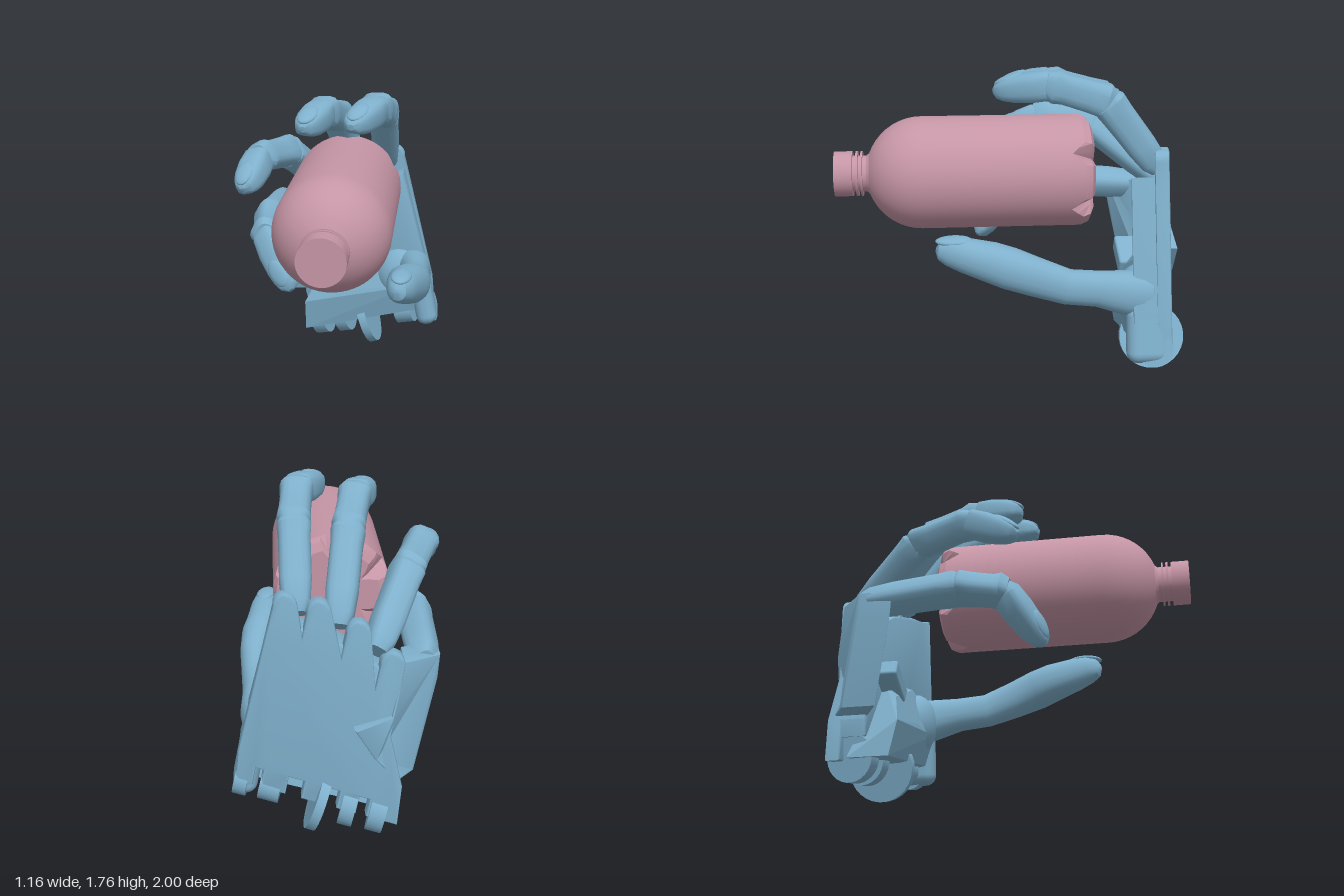
import * as THREE from 'three';
import { toCreasedNormals } from 'three/addons/utils/BufferGeometryUtils.js';
import { RoundedBoxGeometry } from 'three/addons/geometries/RoundedBoxGeometry.js';
import { ConvexGeometry } from 'three/addons/geometries/ConvexGeometry.js';

const V = (p) => new THREE.Vector3(...p);
const skin = new THREE.MeshStandardMaterial({ color: 0x7fb0cc });
const plastic = new THREE.MeshStandardMaterial({ color: 0xc595a5 });

function part(parent, name, geometry, material = skin) {
  const mesh = new THREE.Mesh(geometry, material);
  mesh.name = name;
  parent.add(mesh);
  return mesh;
}

// Closed loft along a list of [x, y, z, halfWidth, halfHeight] with rounded-square sections
function loft(stations, up, n = 16, power = 0.62) {
  const pts = stations.map((s) => V(s)), pos = [], idx = [];
  const bend = (v) => Math.sign(v) * Math.abs(v) ** power;
  stations.forEach((s, i) => {
    const dir = pts[Math.min(i + 1, pts.length - 1)].clone().sub(pts[Math.max(i - 1, 0)]).normalize();
    const X = V(up).cross(dir).normalize(), Y = dir.clone().cross(X);
    for (let k = 0; k < n; k++) {
      const a = ((k + 0.5) / n) * Math.PI * 2;
      const q = pts[i].clone().addScaledVector(X, bend(Math.cos(a)) * s[3]).addScaledVector(Y, bend(Math.sin(a)) * s[4]);
      pos.push(q.x, q.y, q.z);
      if (i < pts.length - 1) {
        const b = i * n, m = (k + 1) % n;
        idx.push(b + k, b + m, b + n + m, b + k, b + n + m, b + n + k);
      }
    }
  });
  const last = (pts.length - 1) * n;
  for (let k = 1; k < n - 1; k++) idx.push(0, k + 1, k, last, last + k, last + k + 1);
  const g = new THREE.BufferGeometry();
  g.setAttribute('position', new THREE.Float32BufferAttribute(pos, 3));
  g.setIndex(idx);
  return toCreasedNormals(g, 0.6);
}

// One straight bone from a to b; profile rows are [t, halfWidth, halfHeight]
function bone(a, b, profile, up) {
  return loft(profile.map(([t, w, h]) => [...V(a).lerp(V(b), t).toArray(), w, h]), up);
}

// Flattened oval lying on the back of a fingertip, dipping toward the tip
function nail(parent, a, b, up, t, lift, w, l) {
  const m = part(parent, 'nail', new THREE.SphereGeometry(1, 20, 12));
  const Z = V(b).sub(V(a)).normalize(), X = V(up).cross(Z).normalize(), Y = Z.clone().cross(X);
  m.quaternion.setFromRotationMatrix(new THREE.Matrix4().makeBasis(X, Y, Z));
  m.rotateX(0.22);
  m.scale.set(w / 2, 0.022, l / 2);
  m.position.copy(V(a).lerp(V(b), t).addScaledVector(Y, lift));
}

function hinge(parent, name, p, axis, r, w) {
  const m = part(parent, name, toCreasedNormals(new THREE.CylinderGeometry(r, r, w, 28), 0.6));
  m.position.set(...p);
  m.quaternion.setFromUnitVectors(V([0, 1, 0]), V(axis).normalize());
}

function finger(parent, name, [a, b, c, d], up, tipUp = up) {
  const g = new THREE.Group();
  g.name = name;
  part(g, 'proximalBone', bone(a, b, [[-0.08, 0.05, 0.05], [0.04, 0.072, 0.075], [0.3, 0.082, 0.085],
    [0.8, 0.082, 0.09], [0.96, 0.088, 0.095], [1.04, 0.07, 0.07]], up));
  part(g, 'middleBone', bone(b, c, [[-0.14, 0.06, 0.065], [0, 0.087, 0.094], [0.3, 0.082, 0.087],
    [0.75, 0.082, 0.082], [0.92, 0.09, 0.092], [1.1, 0.07, 0.068]], up));
  part(g, 'fingertip', bone(c, d, [[-0.1, 0.055, 0.055], [0.05, 0.08, 0.08], [0.4, 0.087, 0.082], [0.75, 0.08, 0.073],
    [0.95, 0.07, 0.06], [1.1, 0.052, 0.042], [1.18, 0.02, 0.016]], tipUp));
  nail(g, c, d, tipUp, 0.84, 0.056, 0.11, 0.17);
  parent.add(g);
}

// Extruded plate whose depth is then sheared by a rule z = f(x, y)
function plate(outline, depth, rule) {
  const shape = new THREE.Shape(outline.map((p) => new THREE.Vector2(...p)));
  const g = new THREE.ExtrudeGeometry(shape, { depth: depth - 0.024, bevelThickness: 0.012, bevelSize: 0.01, bevelSegments: 2 });
  const p = g.attributes.position;
  for (let i = 0; i < p.count; i++) p.setZ(i, p.getZ(i) + 0.012 + rule(p.getX(i), p.getY(i)));
  return toCreasedNormals(g, 0.5);
}

function makeBottle() {
  const g = new THREE.Group();
  g.name = 'bottle';
  const prof = [[0, -0.42], [0.25, -0.42], [0.295, -0.4], [0.312, -0.36], [0.312, -0.27], [0.312, 0.1], [0.312, 0.52]];
  for (let i = 1; i <= 9; i++) {
    const a = (i / 9) * 1.2;
    prof.push([0.312 * Math.cos(a), 0.52 + 0.31 * Math.sin(a)]);
  }
  prof.push([0.095, 0.83], [0.095, 0.86]);
  const body = new THREE.LatheGeometry(prof.map((p) => new THREE.Vector2(...p)), 60);
  // Six V notches in the rim of the base: raise the rim's upper row, pull in the rows below it
  const p = body.attributes.position, step = Math.PI / 3;
  for (let i = 0; i < p.count; i++) {
    const row = i % prof.length, x = p.getX(i), z = p.getZ(i), a = Math.atan2(x, z);
    const w = Math.max(0, 1 - Math.abs(a - Math.round(a / step) * step) / 0.2094);
    if (row === 3) p.setY(i, -0.36 + 0.07 * w);
    const k = 1 - [0, 0.34, 0.3][row] * w;
    if (row < 3) p.setXYZ(i, x * k, p.getY(i), z * k);
  }
  part(g, 'bottleBody', toCreasedNormals(body, 0.35), plastic);
  for (const [name, r, y0, y1] of [['neck', 0.1, 0.78, 0.92], ['neckRing', 0.125, 0.845, 0.855],
    ['sealRing', 0.125, 0.87, 0.882], ['cap', 0.125, 0.9, 1]]) {
    part(g, name, new THREE.CylinderGeometry(r, r, y1 - y0, 40), plastic).position.y = (y0 + y1) / 2;
  }
  g.rotation.x = Math.PI / 2;
  g.position.set(0.03, 1.175, 0);
  return g;
}

// Outline of the back plate: notched wrist edge, straight sides, round knuckle tabs
function backOutline() {
  const low = (x) => 0.13 + 0.23 * (x + 0.26), pts = [[-0.26, low(-0.26)]];
  for (const [a, b] of [[-0.12, -0.05], [0.03, 0.1], [0.21, 0.31], [0.42, 0.48]]) {
    pts.push([a, low(a)], [a - 0.02, low(a) + 0.1], [b - 0.02, low(b) + 0.1], [b, low(b)]);
  }
  pts.push([0.55, 0.29], [0.53, 0.48]);
  for (const [x, y] of [[0.285, 1.28], [0.12, 1.255], [-0.07, 1.16], [-0.235, 1.01]]) {
    pts.push([x + 0.085, y - 0.15]);
    for (let i = 0; i <= 8; i++) {
      const a = (i / 8) * Math.PI - 0.15;
      pts.push([x + 0.05 * Math.cos(a), y + 0.05 * Math.sin(a)]);
    }
  }
  pts.push([-0.27, 0.9], [-0.22, 0.62], [-0.28, 0.34]);
  return pts;
}

export function createModel() {
  const model = new THREE.Group();
  model.add(makeBottle());
  const hand = new THREE.Group();
  hand.name = 'hand';
  model.add(hand);

  // Palm
  const slope = (x, y) => -0.88 + 0.2 * x + 0.055 * (y - 1.2);
  part(hand, 'palmBack', plate(backOutline(), 0.08, slope));
  part(hand, 'palm', plate([[-0.26, 0.26], [0.1, 0.34], [0.53, 0.43], [0.52, 0.5], [0.34, 1.19], [0.25, 1.15], [0.13, 1.12],
    [-0.08, 1.03], [-0.26, 0.9], [-0.22, 0.62], [-0.28, 0.34]], 0.18, (x, y) => slope(x, y) + 0.03));
  part(hand, 'palmHeel', new ConvexGeometry([[-0.27, 0.13, -0.64], [0.53, 0.32, -0.62], [-0.27, 0.33, -0.6], [0.1, 0.44, -0.59],
    [0.42, 0.48, -0.57], [-0.18, 0.5, -0.64], [-0.27, 0.13, -0.87], [0.53, 0.3, -0.73], [0.3, 0.74, -0.66], [-0.1, 0.65, -0.74]].map(V)));

  // Wrist lugs and the tendon disc
  const axis = [0.95, 0.22, 0.19];
  for (const [x, y, z, r, w] of [[-0.185, 0.155, -0.86, 0.135, 0.085], [-0.035, 0.18, -0.84, 0.13, 0.075],
    [0.37, 0.26, -0.76, 0.1, 0.11], [0.52, 0.285, -0.73, 0.1, 0.07]]) hinge(hand, 'wristLug', [x, y, z], axis, r, w);
  hinge(hand, 'tendonDisc', [0.125, 0.19, -0.79], [0.94, 0.32, 0.08], 0.187, 0.05);

  // Little finger's palm segment with its pointed flap and front strap
  part(hand, 'outerPalm', plate([[-0.35, 0.39], [-0.27, 0.37], [-0.16, 0.5], [-0.06, 0.66], [-0.24, 0.73],
    [-0.3, 1.01], [-0.48, 0.98], [-0.47, 0.86]], 0.19, (x) => -0.97 - 0.76 * (Math.min(x, -0.25) + 0.25)));
  const strap = part(hand, 'palmStrap', new RoundedBoxGeometry(0.24, 0.1, 0.12, 2, 0.015));
  strap.position.set(-0.15, 0.6, -0.68);
  strap.rotation.z = -0.4;

  // Fingers: base, two joints, tip
  finger(hand, 'indexFinger', [[0.23, 1.25, -0.75], [0.23, 1.6, -0.48], [0.205, 1.685, -0.18], [0.105, 1.645, 0.075]], [0, 1, -0.3], [0, 1, 0.1]);
  finger(hand, 'middleFinger', [[0.02, 1.2, -0.8], [-0.045, 1.57, -0.5], [-0.1, 1.655, -0.2], [-0.17, 1.615, 0.025]], [0, 1, -0.3], [0, 1, 0.1]);
  finger(hand, 'ringFinger', [[-0.17, 1.08, -0.85], [-0.35, 1.35, -0.5], [-0.465, 1.385, -0.18], [-0.505, 1.28, 0.05]], [-0.5, 0.8, 0], [-0.3, 0.9, 0.2]);
  finger(hand, 'littleFinger', [[-0.41, 0.97, -0.76], [-0.42, 1.01, -0.25], [-0.4, 0.98, 0], [-0.26, 0.76, 0.17]], [-0.9, 0.5, 0], [-0.6, 0.5, 0.6]);

  // Thumb
  const thumb = new THREE.Group();
  thumb.name = 'thumb';
  hand.add(thumb);
  part(thumb, 'thumbBody', loft([[0.36, 0.55, -0.74, 0.08, 0.08], [0.41, 0.57, -0.67, 0.11, 0.13], [0.43, 0.58, -0.58, 0.1, 0.125],
    [0.44, 0.61, -0.42, 0.08, 0.1], [0.45, 0.63, -0.25, 0.078, 0.098], [0.45, 0.69, -0.08, 0.088, 0.108],
    [0.425, 0.735, 0.06, 0.105, 0.115], [0.4, 0.765, 0.16, 0.105, 0.11], [0.39, 0.805, 0.3, 0.088, 0.095],
    [0.38, 0.825, 0.38, 0.072, 0.08], [0.37, 0.83, 0.43, 0.048, 0.055], [0.365, 0.835, 0.45, 0.012, 0.015]], [0, 1, 0], 20, 0.9));
  nail(thumb, [0.4, 0.78, 0.16], [0.37, 0.83, 0.44], [0.1, 1, 0], 0.74, 0.07, 0.11, 0.2);
  const mound = part(thumb, 'thumbMound', new THREE.SphereGeometry(1, 28, 18));
  mound.scale.set(0.17, 0.18, 0.13);
  mound.position.set(0.35, 0.53, -0.67);
  const block = part(thumb, 'thumbBase', new RoundedBoxGeometry(0.13, 0.32, 0.23, 4, 0.06));
  block.position.set(0.49, 0.36, -0.69);
  block.rotation.z = 0.2;
  return model;
}
